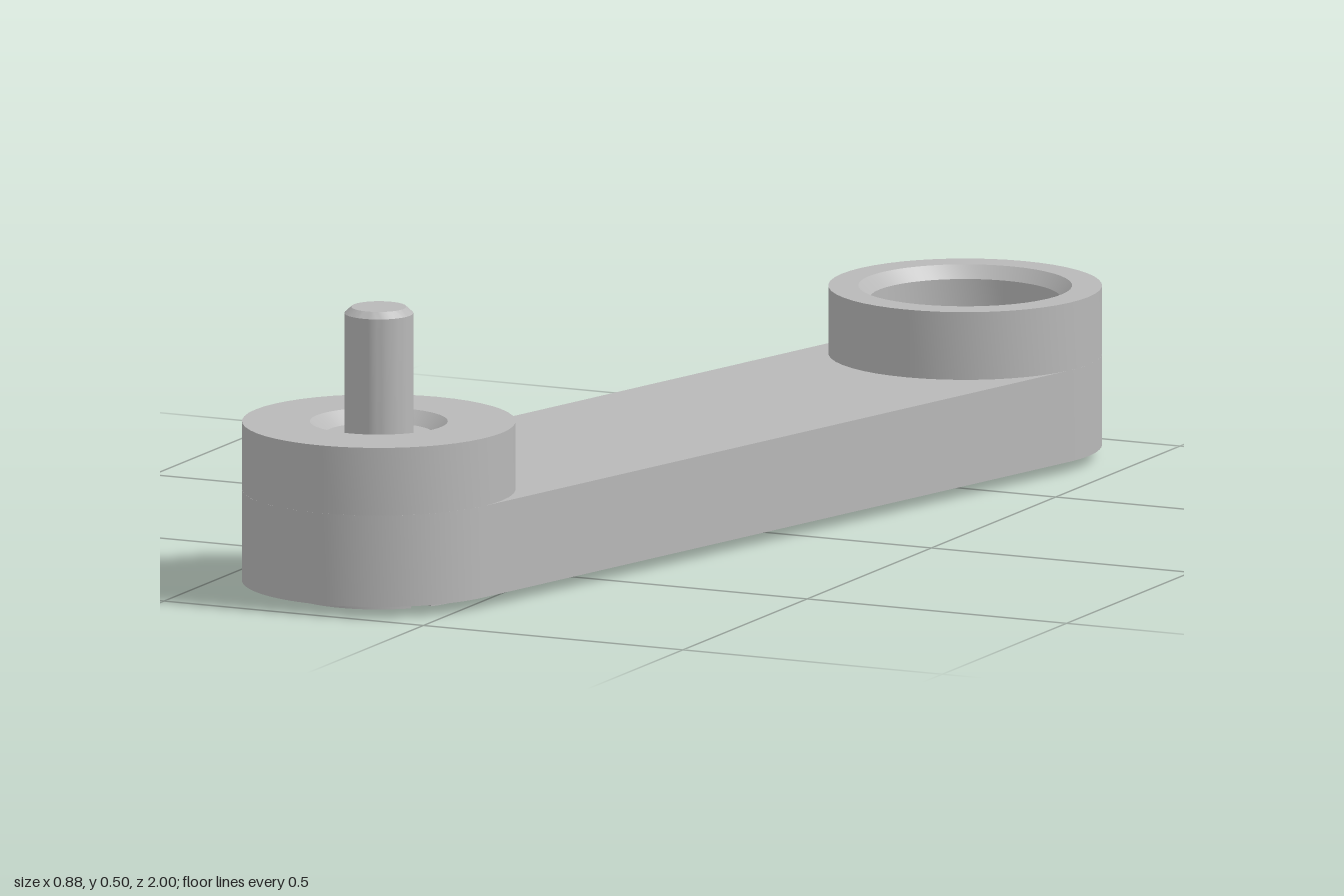
import * as THREE from 'three';
import { toCreasedNormals } from 'three/addons/utils/BufferGeometryUtils.js';

const SEGMENTS = 48;
const CREASE = 0.5;
const BOSS_RADIUS = 0.238;
const FRONT = { x: -0.2, z: 0.762 };
const REAR = { x: 0.2, z: -0.762 };

export function createModel() {
  const group = new THREE.Group();
  const metal = new THREE.MeshStandardMaterial({ color: 0xb8b8b8 });
  metal.name = 'grey metal';

  const add = (name, geometry, at = { x: 0, z: 0 }) => {
    const mesh = new THREE.Mesh(toCreasedNormals(geometry, CREASE), metal);
    mesh.name = name;
    mesh.position.set(at.x, 0, at.z);
    group.add(mesh);
  };

  // Turned part from [radius, height] pairs
  const lathe = (points) =>
    new THREE.LatheGeometry(points.map(([r, y]) => new THREE.Vector2(r, y)), SEGMENTS);

  // Flat plan (x, -z) raised from one height to another
  const slab = (shape, bottom, top) =>
    new THREE.ExtrudeGeometry(shape, { depth: top - bottom, bevelEnabled: false, curveSegments: 24 })
      .rotateX(-Math.PI / 2)
      .translate(0, bottom, 0);

  const hole = ({ x, z }, radius) => new THREE.Path().absarc(x, -z, radius, 0, Math.PI * 2, true);

  // Arm: rounded bar with a bolt recess at the front and a bore at the rear
  const angle = Math.atan2(FRONT.z - REAR.z, REAR.x - FRONT.x);
  const quarter = Math.PI / 2;
  const plan = new THREE.Shape();
  plan.absarc(REAR.x, -REAR.z, BOSS_RADIUS, angle - quarter, angle + quarter, false);
  plan.absarc(FRONT.x, -FRONT.z, BOSS_RADIUS, angle + quarter, angle + 3 * quarter, false);
  plan.closePath();
  plan.holes.push(hole(FRONT, 0.19), hole(REAR, 0.122));
  add('arm', slab(plan, 0.02, 0.182));

  // Front boss, with the recess floor below and a chamfered seat above
  add('frontBoss', lathe([
    [0, 0.042], [0.19, 0.042], [0.19, 0.182], [BOSS_RADIUS, 0.182], [BOSS_RADIUS, 0.302],
    [0.12, 0.302], [0.095, 0.28], [0, 0.28],
  ]), FRONT);

  // Rear boss, an open socket stepping down to the bore
  add('rearBoss', lathe([
    [BOSS_RADIUS, 0.182], [BOSS_RADIUS, 0.302], [0.186, 0.302], [0.166, 0.28],
    [0.166, 0.225], [0.122, 0.225], [0.122, 0.182],
  ]), REAR);

  // Bolt shaft with a chamfered tip
  add('boltShaft', lathe([[0.06, 0.27], [0.06, 0.494], [0.048, 0.505], [0, 0.505]]), FRONT);

  // Bolt head: a disc carrying two half discs either side of the screwdriver slot
  const headRadius = 0.16;
  add('boltHeadBase', lathe([[0, 0.022], [headRadius, 0.022], [headRadius, 0.045]]), FRONT);
  const slotAngle = -Math.atan2(0.6, 0.8);
  const inset = Math.asin(0.02 / headRadius);
  for (const turn of [0, Math.PI]) {
    const start = slotAngle + turn;
    const half = new THREE.Shape();
    half.absarc(0, 0, headRadius, start + inset, start + Math.PI - inset, false);
    half.closePath();
    add('boltHeadHalf', slab(half, 0, 0.022), FRONT);
  }

  return group;
}
